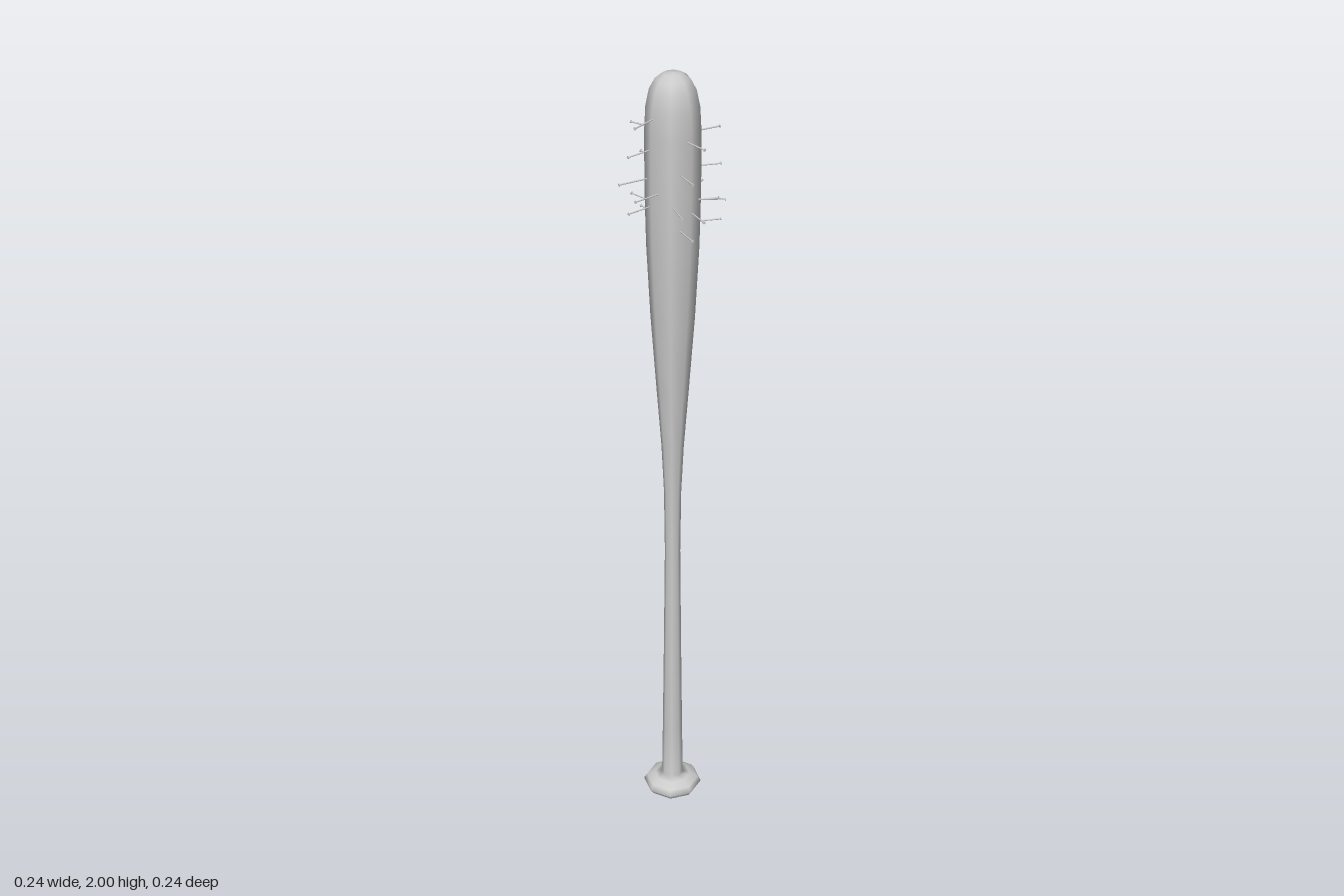
import * as THREE from 'three';

const material = new THREE.MeshStandardMaterial({ color: 0xcccccc });
const CENTRE_Z = -0.007;

// Eight-sided turned body: knob, handle, barrel and rounded end
function makeBat() {
  const profile = [
    [0, 0.004], [0.04, 0.008], [0.064, 0.018], [0.074, 0.032], [0.066, 0.046], [0.045, 0.056],
    [0.027, 0.062], [0.025, 0.2], [0.022, 0.45], [0.019, 0.75], [0.021, 0.92], [0.027, 1.05],
    [0.038, 1.2], [0.052, 1.4], [0.061, 1.58], [0.064, 1.72], [0.064, 1.86],
    [0.061, 1.92], [0.053, 1.96], [0.04, 1.985], [0.022, 1.997], [0, 2],
  ].map(([r, y]) => new THREE.Vector2(r, y));
  const bat = new THREE.Mesh(new THREE.LatheGeometry(profile, 8), material);
  bat.name = 'bat';
  return bat;
}

// Shaft and flat head between two points at one height
function makeNail(baseX, baseZ, tipX, tipZ, y) {
  const base = new THREE.Vector3(baseX, y, baseZ);
  const tip = new THREE.Vector3(tipX, y, tipZ);
  const length = base.distanceTo(tip);
  const nail = new THREE.Group();
  nail.name = 'nail';

  const shaft = new THREE.Mesh(new THREE.CylinderGeometry(0.0018, 0.0018, length, 6), material);
  shaft.name = 'nailShaft';
  shaft.position.y = length / 2;
  const head = new THREE.Mesh(new THREE.CylinderGeometry(0.0035, 0.0035, 0.002, 8), material);
  head.name = 'nailHead';
  head.position.y = length - 0.001;

  nail.add(shaft, head);
  nail.position.copy(base);
  nail.quaternion.setFromUnitVectors(new THREE.Vector3(0, 1, 0), tip.sub(base).normalize());
  return nail;
}

// Five nails pointing outward along +z: base x, base z, tip x, tip z, height
const CLUSTER = [
  [0.0, 0.05, 0.016, 0.123, 1.855],
  [-0.011, 0.05, -0.012, 0.12, 1.777],
  [-0.026, 0.05, -0.041, 0.123, 1.702],
  [0.017, 0.05, 0.016, 0.123, 1.68],
  [-0.011, 0.05, -0.012, 0.12, 1.64],
];

// Clusters around the barrel: angle in degrees, inward shift, lift
const PLACEMENTS = [
  [0, 0, 0.05],
  [79, 0.008, 0],
  [153.5, 0.01, 0],
  [-146, 0.018, 0],
  [-83.5, 0.008, 0],
];

export function createModel() {
  const model = new THREE.Group();
  model.name = 'nailedBat';
  model.add(makeBat());
  for (const [angle, inward, lift] of PLACEMENTS) {
    const cluster = new THREE.Group();
    cluster.name = 'nailCluster';
    for (const [bx, bz, tx, tz, y] of CLUSTER) {
      cluster.add(makeNail(bx, bz - inward, tx, tz - inward, y + lift));
    }
    cluster.rotation.y = THREE.MathUtils.degToRad(angle);
    model.add(cluster);
  }
  for (const part of model.children) part.position.z = CENTRE_Z;
  return model;
}
